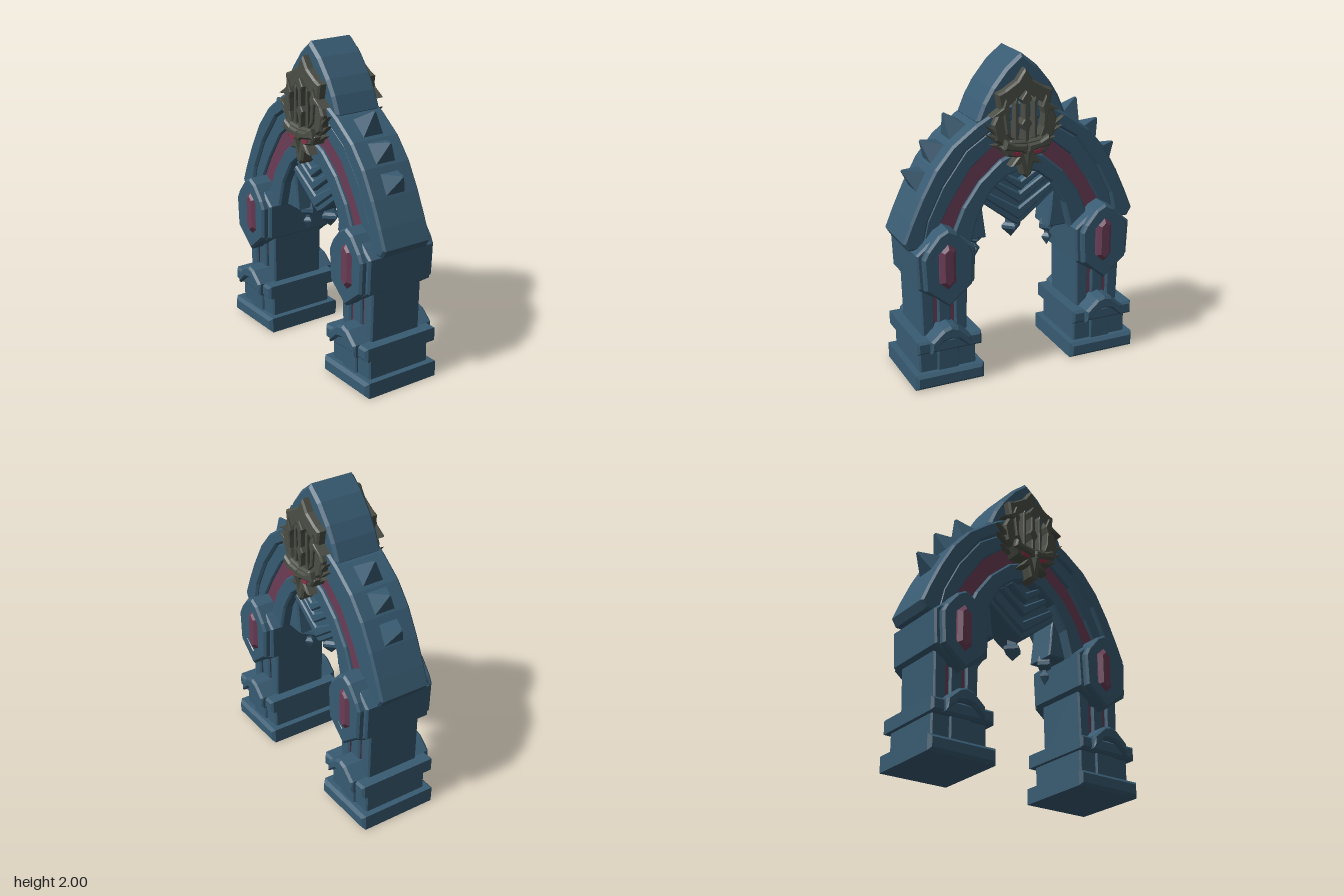
import * as THREE from 'three';

const mat = (name, color) => {
  const m = new THREE.MeshStandardMaterial({ color });
  m.name = name;
  return m;
};

export function createModel() {
  const stone = mat('blue stone', 0x385b72);
  const purple = mat('purple inlay', 0x6b3d57);
  const bronze = mat('dark bronze', 0x4b4e45);
  const red = mat('red eyes', 0x8c2f48);
  const root = new THREE.Group();
  root.name = 'archGate';

  const add = (parent, name, geo, material) => {
    const m = new THREE.Mesh(geo, material);
    m.name = name;
    parent.add(m);
    return m;
  };
  const vecs = (pts) => pts.map(([x, y]) => new THREE.Vector2(x, y));
  // Full outline from a right half running from top centre to bottom centre
  const sym = (pts) => [...pts, ...pts.filter((p) => p[0] > 0).reverse().map(([x, y]) => [-x, y])];
  const rect = (x0, y0, x1, y1) => [[x0, y0], [x1, y0], [x1, y1], [x0, y1]];
  // Bevelled slab between z0 and z1
  const slab = (pts, z0, z1, bevel = 0.012, hole = null) => {
    const s = new THREE.Shape(vecs(pts));
    if (hole) s.holes.push(new THREE.Path(vecs(hole)));
    const g = new THREE.ExtrudeGeometry(s, {
      depth: z1 - z0 - 2 * bevel, bevelEnabled: bevel > 0, bevelThickness: bevel,
      bevelSize: bevel, bevelOffset: -bevel, bevelSegments: 1,
    });
    return g.translate(0, 0, z0 + bevel);
  };
  const through = (pts, z, bevel, hole) => slab(pts, -z, z, bevel, hole);
  const faceted = (g) => {
    const f = g.toNonIndexed();
    f.computeVertexNormals();
    return f;
  };

  // Arch: nested bands between half curves, each running from the crown down
  const outer = [[0, 1.72], [0.16, 1.68], [0.3, 1.6], [0.45, 1.49], [0.56, 1.36], [0.65, 1.2], [0.72, 1.05], [0.77, 0.93], [0.74, 0.88]];
  const middle = [[0, 1.62], [0.16, 1.58], [0.36, 1.45], [0.51, 1.25], [0.61, 1.05], [0.65, 0.88]];
  const inlayTop = [[0, 1.54], [0.15, 1.485], [0.33, 1.34], [0.455, 1.155], [0.535, 1.01], [0.56, 0.88]];
  const inlayLow = [[0, 1.42], [0.14, 1.365], [0.28, 1.245], [0.385, 1.1], [0.455, 0.94], [0.47, 0.86]];
  const inner = [[0, 1.29], [0.1, 1.26], [0.2, 1.18], [0.29, 1.03], [0.335, 0.86]];
  const band = (a, b) => sym([...a, ...[...b].reverse()]);
  add(root, 'outerArchRim', through(band(outer, middle), 0.172, 0.014), stone);
  add(root, 'middleArchBand', through(band(middle, inlayTop), 0.158, 0.008), stone);
  add(root, 'archInlay', through(band(inlayTop, inlayLow), 0.14, 0), purple);
  add(root, 'innerArchRim', through(band(inlayLow, inner), 0.165, 0.012), stone);

  // Pointed crown
  add(root, 'crown', through(sym([[0, 2], [0.1, 1.92], [0.19, 1.81], [0.245, 1.72], [0.29, 1.615], [0.2, 1.52], [0, 1.5]]), 0.157, 0.018), stone);

  // Hanging tracery and its stepped chevrons
  add(root, 'tracery', through(sym([[0, 1.31], [0.12, 1.27], [0.22, 1.18], [0.31, 1.03], [0.36, 0.86],
    [0.21, 0.86], [0.225, 0.97], [0.24, 1.09], [0.05, 0.94], [0, 0.91]]), 0.1, 0.01), stone);
  [[0.12, 1.17, 0.075], [0.18, 1.08, 0.085], [0.24, 0.97, 0.1]].forEach(([w, tip, t], i) => {
    const rise = w * 0.75;
    add(root, 'chevron', through(sym([[0, tip + t * 0.6], [w, tip + rise + t * 0.3], [w, tip + rise - 0.02], [0, tip - 0.02]]), 0.15 - i * 0.015, 0.01), stone);
  });

  // Faceted pendants
  const pendant = (name, x, profile) => {
    add(root, name, faceted(new THREE.LatheGeometry(vecs(profile), 4)), stone).position.x = x;
  };
  pendant('centrePendant', 0, [[0, 0.8], [0.065, 0.865], [0.065, 0.885], [0.04, 0.9], [0.04, 0.95]]);
  for (const s of [-1, 1]) {
    pendant('sidePendant', s * 0.25, [[0, 0.7], [0.035, 0.755], [0.035, 0.765], [0.016, 0.785], [0.016, 0.8], [0.055, 0.825], [0.055, 0.85], [0.04, 0.89]]);
  }

  // Spikes along the shoulders
  const spikes = [[0.37, 1.54, 0.44, 1.65], [0.5, 1.42, 0.59, 1.5], [0.6, 1.26, 0.71, 1.33]];
  for (const s of [-1, 1]) {
    for (const [bx, by, tx, ty] of spikes) {
      const h = Math.hypot(tx - bx, ty - by);
      const geo = faceted(new THREE.CylinderGeometry(0.008, 0.1, h, 4).rotateY(Math.PI / 4));
      const spike = add(root, 'spike', geo, stone);
      spike.position.set((s * (bx + tx)) / 2, (by + ty) / 2, 0);
      spike.rotation.z = -s * Math.atan2(tx - bx, ty - by);
    }
  }

  // Legs
  for (const s of [-1, 1]) {
    const leg = new THREE.Group();
    leg.name = s > 0 ? 'leftLeg' : 'rightLeg';
    leg.position.x = s * 0.525;
    root.add(leg);
    add(leg, 'foot', through(rect(-0.225, 0, 0.225, 0.1), 0.27, 0.02), stone);
    add(leg, 'pedestal', through(rect(-0.185, 0.09, 0.185, 0.3), 0.22, 0.01), stone);
    add(leg, 'pedestalPanel', through(rect(-0.07, 0.09, 0.07, 0.34), 0.235, 0.008), stone);
    add(leg, 'collar', through(rect(-0.21, 0.235, 0.21, 0.32), 0.265, 0.015), stone);
    add(leg, 'collarGable', through(sym([[0, 0.405], [0.05, 0.39], [0.13, 0.32], [0.13, 0.24], [0.05, 0.31], [0, 0.32]]), 0.295, 0.015), stone);
    add(leg, 'gableFill', through(sym([[0, 0.39], [0.05, 0.38], [0.13, 0.31], [0.13, 0.25], [0, 0.25]]), 0.24, 0), stone);
    add(leg, 'shaftInlay', through(rect(-0.09, 0.3, 0.09, 0.7), 0.16, 0), purple);
    add(leg, 'shaftRib', through(rect(-0.042, 0.3, 0.042, 0.7), 0.18, 0.01), stone);
    for (const t of [-1, 1]) {
      add(leg, 'shaftPost', through([[t * 0.068, 0.3], [t * 0.145, 0.3], [t * 0.155, 0.7], [t * 0.068, 0.7]], 0.18, 0.01), stone);
    }
    // Cartouche block, frame and crystal
    add(leg, 'cartoucheBlock', through(sym([[0, 1.01], [0.12, 0.93], [0.19, 0.87], [0.18, 0.65], [0.1, 0.595], [0, 0.54]]), 0.232, 0.012), stone);
    add(leg, 'cartoucheFrame', through(sym([[0, 1.02], [0.06, 0.99], [0.135, 0.9], [0.16, 0.85], [0.15, 0.65], [0, 0.525]]), 0.272, 0.014,
      sym([[0, 0.955], [0.085, 0.875], [0.085, 0.68], [0, 0.605]])), stone);
    add(leg, 'crystal', through(sym([[0, 0.93], [0.05, 0.885], [0.05, 0.68], [0, 0.635]]), 0.278, 0.024), purple);
  }

  // Crest, repeated on front and back
  for (const turn of [0, Math.PI]) {
    const crest = new THREE.Group();
    crest.name = turn ? 'backCrest' : 'frontCrest';
    crest.rotation.y = turn;
    root.add(crest);
    add(crest, 'crestRim', slab(sym([[0, 1.92], [0.05, 1.85], [0.13, 1.8], [0.18, 1.78], [0.165, 1.69], [0.21, 1.6], [0.19, 1.5], [0.1, 1.43], [0, 1.42]]),
      0.13, 0.21, 0.012, sym([[0, 1.81], [0.05, 1.76], [0.125, 1.71], [0.135, 1.58], [0.1, 1.5], [0, 1.48]])), bronze);
    add(crest, 'centreBlade', slab(sym([[0, 1.79], [0.035, 1.74], [0.016, 1.71], [0.016, 1.62], [0.035, 1.59], [0.014, 1.55], [0.014, 1.46], [0, 1.46]]), 0.14, 0.23, 0.006), bronze);
    for (const s of [-1, 1]) {
      const flip = (pts) => pts.map(([x, y]) => [s * x, y]);
      add(crest, 'innerBlade', slab(flip([[0.05, 1.48], [0.072, 1.48], [0.072, 1.72], [0.061, 1.75], [0.05, 1.72]]), 0.14, 0.22, 0.005), bronze);
      add(crest, 'outerBlade', slab(flip([[0.09, 1.5], [0.13, 1.54], [0.145, 1.66], [0.225, 1.65], [0.15, 1.7], [0.13, 1.75], [0.1, 1.68], [0.112, 1.64], [0.108, 1.56]]), 0.14, 0.228, 0.006), bronze);
      // Fan-like fins beside the mask
      [[0.255, 1.605], [0.25, 1.545], [0.215, 1.475]].forEach(([x, y], i) => {
        add(crest, 'fin', slab(flip([[0.13, 1.53 - i * 0.03], [x, y], [0.13, 1.46 - i * 0.02]]), 0.14, 0.205 - i * 0.012, 0.006), bronze);
      });
      add(crest, 'brow', slab(flip([[0, 1.47], [0.08, 1.48], [0.14, 1.51], [0.155, 1.45], [0.04, 1.425], [0, 1.4]]), 0.2, 0.252, 0.012), bronze);
      add(crest, 'eye', slab(flip([[0.035, 1.42], [0.1, 1.435], [0.09, 1.41], [0.05, 1.4]]), 0.233, 0.24, 0), red);
    }
    add(crest, 'mask', slab(sym([[0, 1.49], [0.1, 1.5], [0.16, 1.46], [0.13, 1.405], [0.06, 1.39], [0.105, 1.335], [0.045, 1.345], [0.03, 1.28], [0, 1.255]]), 0.13, 0.235, 0.012), bronze);
    const beak = add(crest, 'beak', faceted(new THREE.ConeGeometry(0.04, 0.15, 4)), bronze);
    beak.rotation.x = Math.PI;
    beak.position.set(0, 1.36, 0.225);
  }
  return root;
}
